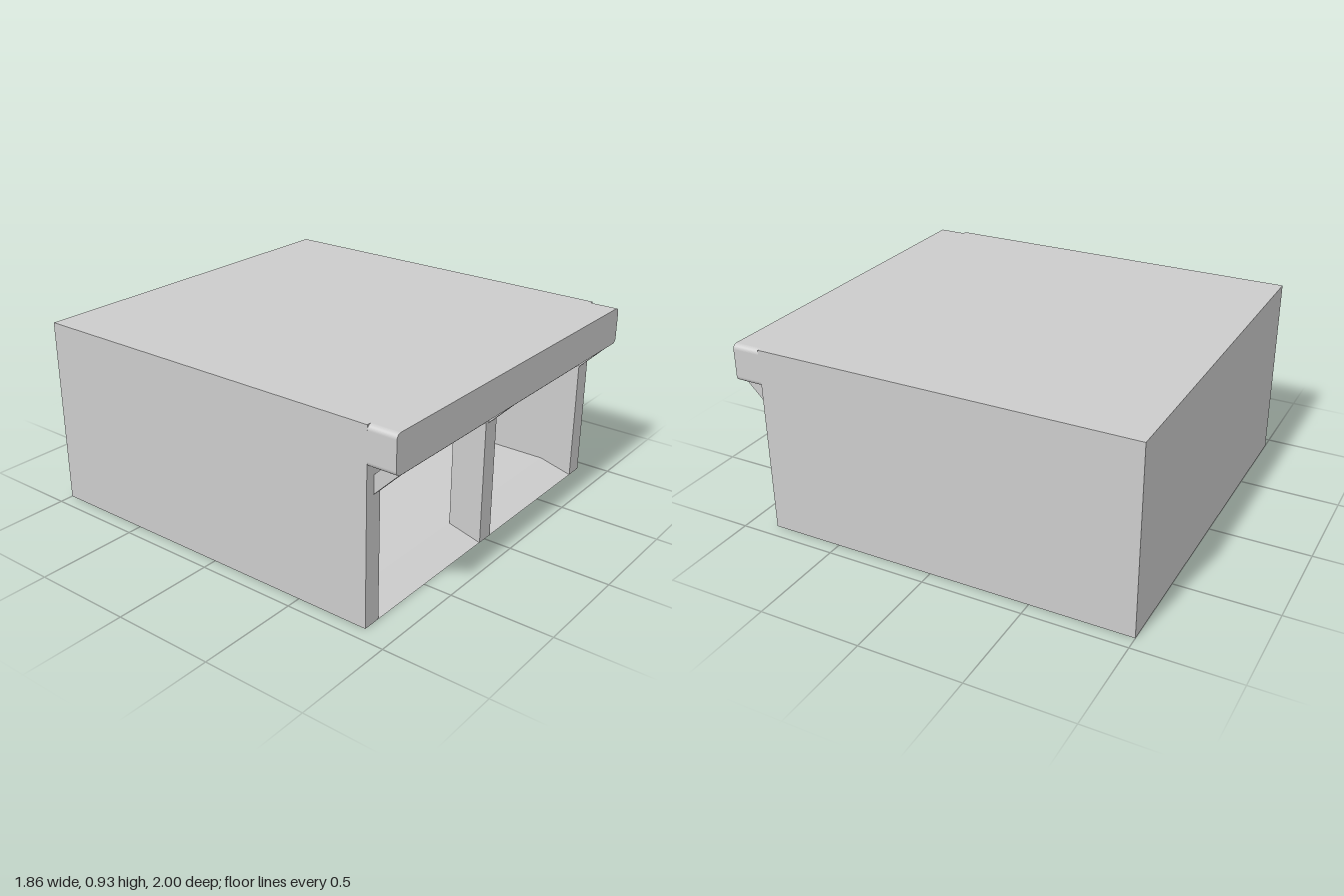
import * as THREE from 'three';

const W = 0.93, H = 0.93, BACK = -1, FRONT = 0.86, INNER = 0.84, POST_BACK = 0.69;

export function createModel() {
  const model = new THREE.Group();
  const material = new THREE.MeshStandardMaterial({ color: 0xcccccc });

  const add = (name, geometry) => {
    const mesh = new THREE.Mesh(geometry, material);
    mesh.name = name;
    model.add(mesh);
    return mesh;
  };

  // Box given by its two extreme corners
  const box = (name, x0, x1, y0, y1, z0, z1) =>
    add(name, new THREE.BoxGeometry(x1 - x0, y1 - y0, z1 - z0))
      .position.set((x0 + x1) / 2, (y0 + y1) / 2, (z0 + z1) / 2);

  // Side profile of [z, y] points extruded across x from x0 to x1
  const sideProfile = (name, points, x0, x1) => {
    const shape = new THREE.Shape(points.map(([z, y]) => new THREE.Vector2(-z, y)));
    const geometry = new THREE.ExtrudeGeometry(shape, { depth: x1 - x0, bevelEnabled: false });
    geometry.rotateY(Math.PI / 2).translate(x0, 0, 0);
    add(name, geometry);
  };

  // Hollow body
  box('rightWall', -W, -INNER, 0, H, BACK, FRONT);
  box('leftWall', INNER, W, 0, H, BACK, FRONT);
  box('backWall', -INNER, INNER, 0, H, BACK, BACK + 0.09);
  box('roof', -INNER, INNER, H - 0.06, H, BACK + 0.09, FRONT);

  // Floor with an entry ramp at the front
  sideProfile('floor', [[BACK + 0.09, 0], [FRONT, 0], [POST_BACK, 0.045], [BACK + 0.09, 0.045]], -INNER, INNER);

  // Entrance frame
  box('lintel', -INNER, INNER, 0.62, H - 0.06, POST_BACK, FRONT);
  box('centrePost', -0.045, 0.045, 0, 0.75, POST_BACK, FRONT + 0.001);

  // Canopy with rounded ends
  const r = 0.025, y0 = 0.747;
  const outline = new THREE.Shape();
  outline.moveTo(-W + r, y0);
  outline.lineTo(W - r, y0);
  outline.absarc(W - r, y0 + r, r, -Math.PI / 2, 0);
  outline.absarc(W - r, H - r, r, 0, Math.PI / 2);
  outline.absarc(-W + r, H - r, r, Math.PI / 2, Math.PI);
  outline.absarc(-W + r, y0 + r, r, Math.PI, Math.PI * 1.5);
  const canopy = new THREE.ExtrudeGeometry(outline, { depth: 1 - FRONT, bevelEnabled: false, curveSegments: 6 });
  add('canopy', canopy).position.z = FRONT;

  // Diagonal braces under the canopy
  for (const x of [-0.86, 0, 0.86]) {
    sideProfile('canopyBrace', [[FRONT, 0.61], [0.997, y0], [0.91, y0], [FRONT, 0.697]], x - 0.023, x + 0.023);
  }

  return model;
}
